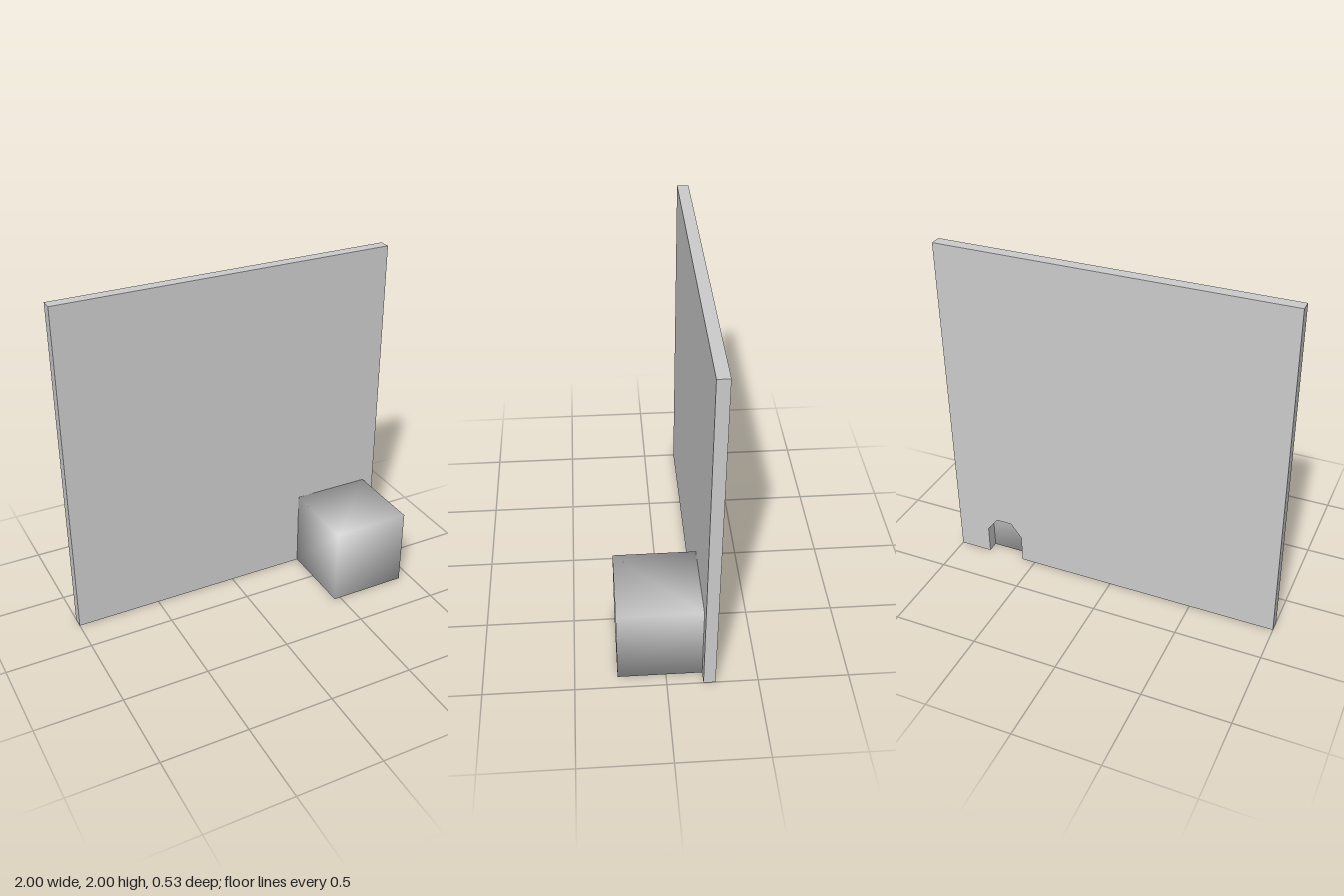
import * as THREE from 'three';
import { mergeVertices } from 'three/addons/utils/BufferGeometryUtils.js';

const material = new THREE.MeshStandardMaterial({ color: 0xcccccc });

function addPart(group, name, geometry, x, y, z) {
  const mesh = new THREE.Mesh(geometry, material);
  mesh.name = name;
  mesh.position.set(x, y, z);
  group.add(mesh);
}

// Box whose corners share one averaged normal, for soft shading
function softBox(w, h, d) {
  const geometry = new THREE.BoxGeometry(w, h, d);
  geometry.deleteAttribute('normal');
  geometry.deleteAttribute('uv');
  const merged = mergeVertices(geometry);
  merged.computeVertexNormals();
  return merged;
}

export function createModel() {
  const group = new THREE.Group();
  const holeX = 0.695, wallBack = -0.266, wallFront = -0.2;
  const boxSize = 0.466;

  // Wall panel, with a small faceted arch cut up from its bottom edge
  const outline = [
    [-1, 0],
    [holeX - 0.112, 0], [holeX - 0.112, 0.165], [holeX - 0.048, 0.25],
    [holeX + 0.048, 0.25], [holeX + 0.112, 0.165], [holeX + 0.112, 0],
    [1, 0], [1, 2], [-1, 2],
  ];
  const shape = new THREE.Shape(outline.map(([x, y]) => new THREE.Vector2(x, y)));
  const wall = new THREE.ExtrudeGeometry(shape, { depth: wallFront - wallBack, bevelEnabled: false });
  addPart(group, 'wallWithArch', wall, 0, 0, wallBack);

  // Cube against the front of the wall, closing the arch
  addPart(group, 'cornerBox', softBox(boxSize, 0.47, boxSize), holeX, 0.235, wallFront + boxSize / 2);

  return group;
}
